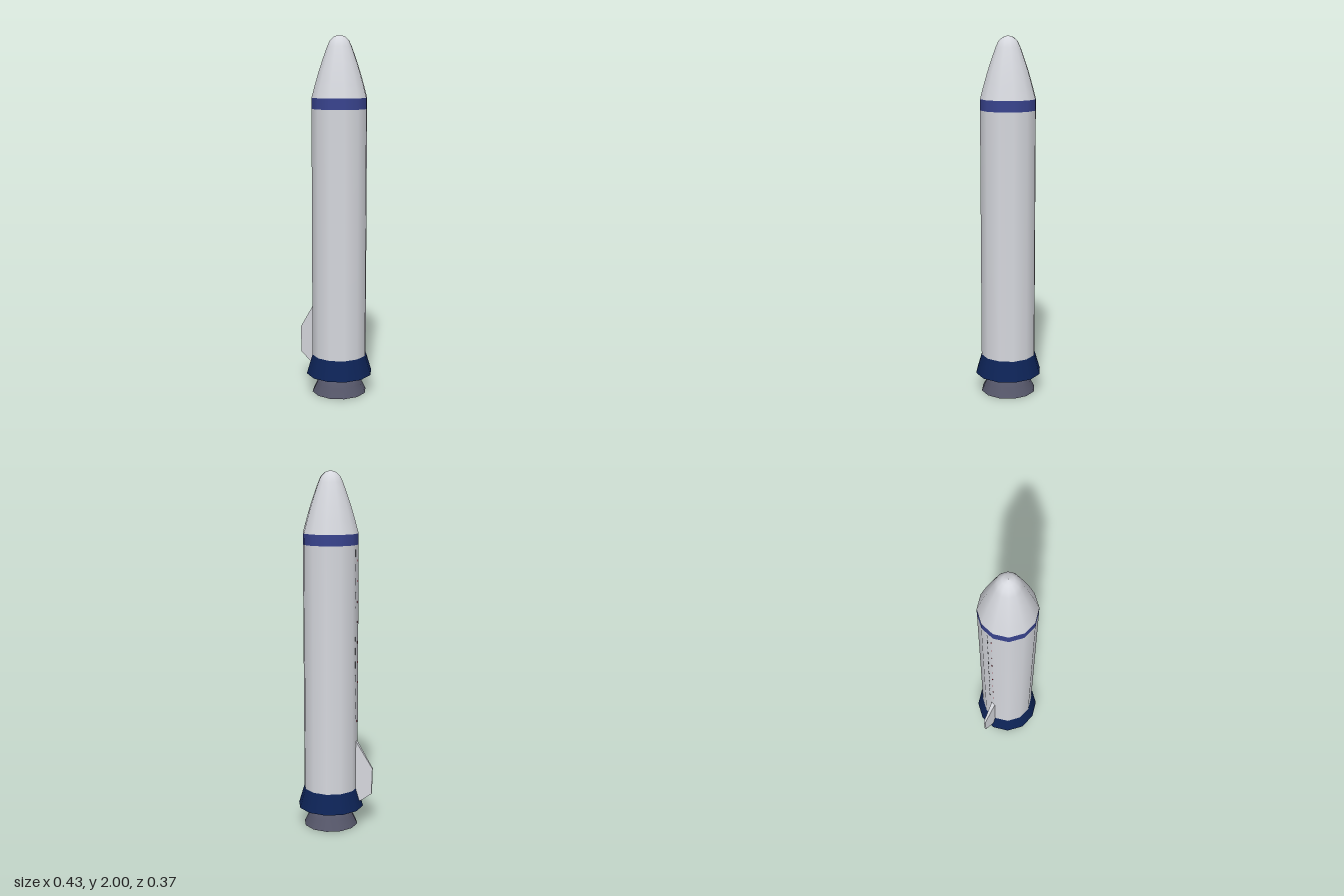
import * as THREE from 'three';

const SIDES = 12, TURN = 0.143, R = 0.154, AXIS_X = 0.03;

const paint = (name, color, side = THREE.FrontSide) => {
  const m = new THREE.MeshStandardMaterial({ color, side });
  m.name = name;
  return m;
};

export function createModel() {
  const white = paint('hullWhite', 0xd6d8de);
  const blue = paint('bandBlue', 0x39448f);
  const navy = paint('skirtNavy', 0x0d2356);
  const grey = paint('nozzleGrey', 0x555669, THREE.DoubleSide);
  const dark = paint('undersideGrey', 0x34363a);
  const red = paint('markerRed', 0x8c1420);

  const model = new THREE.Group();
  model.name = 'rocket';
  const hull = new THREE.Group();
  hull.name = 'hull';
  hull.position.x = AXIS_X;
  model.add(hull);

  const add = (parent, name, geometry, material) => {
    const mesh = new THREE.Mesh(geometry, material);
    mesh.name = name;
    parent.add(mesh);
    return mesh;
  };
  // Open twelve-sided section between two heights
  const section = (name, y0, y1, r0, r1, material) => {
    const g = new THREE.CylinderGeometry(r1, r0, y1 - y0, SIDES, 1, true, TURN);
    g.translate(0, (y0 + y1) / 2, 0);
    return add(hull, name, g, material);
  };
  const lathe = (name, points, material) => add(hull, name,
    new THREE.LatheGeometry(points.map(([r, y]) => new THREE.Vector2(r, y)), SIDES, TURN), material);

  // Main tube, band and flared skirt
  section('body', 0.22, 1.605, R, R, white);
  section('band', 1.605, 1.665, R, R, blue);
  section('skirt', 0.11, 0.22, 0.187, R, navy);
  const base = new THREE.CircleGeometry(0.187, SIDES, -TURN);
  base.rotateX(Math.PI / 2);
  base.translate(0, 0.11, 0);
  add(hull, 'skirtUnderside', base, dark);

  // Rounded nose and bell nozzle
  lathe('noseCone', [[R, 1.665], [0.135, 1.735], [0.113, 1.81], [0.09, 1.878],
    [0.068, 1.938], [0.053, 1.97], [0.03, 1.991], [0.0, 2.0]], white);
  lathe('nozzle', [[R, 0], [0.127, 0.055], [0.103, 0.109], [0, 0.109]], grey);

  // Single fin, thinner toward its outer edge
  const outline = [[-0.10, 0.525], [-0.123, 0.495], [-0.215, 0.345], [-0.211, 0.195], [-0.15, 0.15], [-0.10, 0.14]];
  const fin = new THREE.ExtrudeGeometry(
    new THREE.Shape(outline.map(([x, y]) => new THREE.Vector2(x, y))),
    { depth: 1, bevelEnabled: false });
  const p = fin.attributes.position;
  for (let i = 0; i < p.count; i++) {
    const t = THREE.MathUtils.mapLinear(p.getX(i), -0.12, -0.215, 0.025, 0.011);
    p.setZ(i, 0.007 + (p.getZ(i) - 0.5) * t);
  }
  fin.computeVertexNormals();
  add(model, 'fin', fin, white);

  // Fine dashed seam above the fin, with small red markers
  const seam = new THREE.Group();
  seam.name = 'seam';
  model.add(seam);
  const facet = (z) => -0.1225 + (0.022 - z) * 0.14;
  for (let i = 0; i < 13; i++) {
    const dash = add(seam, 'seamDash', new THREE.BoxGeometry(0.003, 0.04, 0.004), dark);
    dash.position.set(facet(-0.018), 1.56 - i * 0.077, -0.018);
  }
  for (let i = 0; i < 9; i++) {
    const dot = add(seam, 'seamMarker', new THREE.BoxGeometry(0.003, 0.012, 0.004), red);
    dot.position.set(facet(0.008), 1.52 - i * 0.113, 0.008);
  }
  return model;
}
